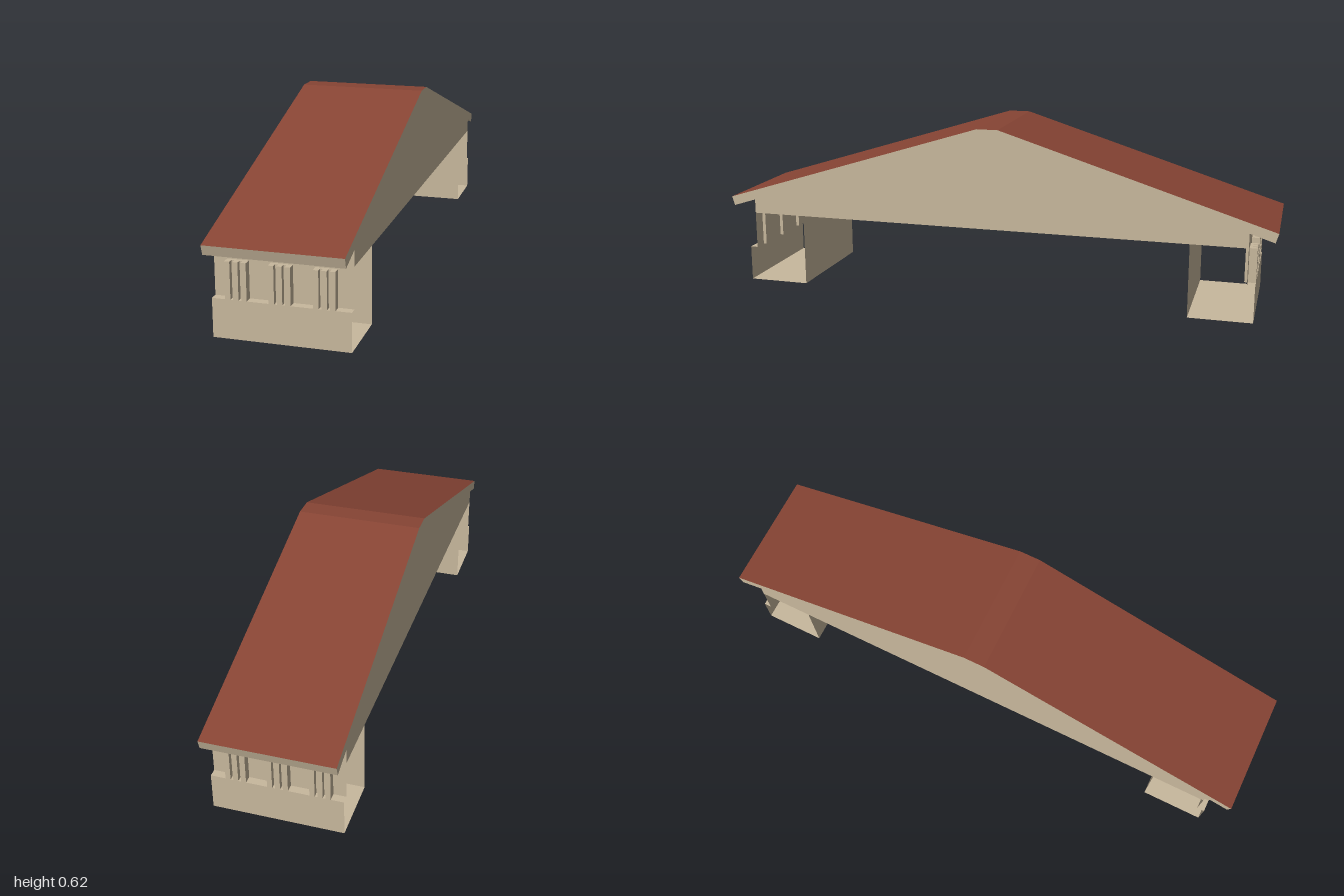
import * as THREE from 'three';

const HALF = 0.22; // half width of the building along x

// Flat-faced sheet: sweeps a profile of [z, y] points across the width
function sheet(name, profile, material) {
  const pos = [];
  for (let i = 0; i < profile.length - 1; i++) {
    const [z0, y0] = profile[i];
    const [z1, y1] = profile[i + 1];
    pos.push(-HALF, y0, z0, HALF, y0, z0, HALF, y1, z1);
    pos.push(-HALF, y0, z0, HALF, y1, z1, -HALF, y1, z1);
  }
  const geo = new THREE.BufferGeometry();
  geo.setAttribute('position', new THREE.Float32BufferAttribute(pos, 3));
  geo.computeVertexNormals();
  const mesh = new THREE.Mesh(geo, material);
  mesh.name = name;
  return mesh;
}

function box(name, w, y0, y1, z0, z1, x, material) {
  const mesh = new THREE.Mesh(new THREE.BoxGeometry(w, y1 - y0, z1 - z0), material);
  mesh.position.set(x, (y0 + y1) / 2, (z0 + z1) / 2);
  mesh.name = name;
  return mesh;
}

// Open-ended base with a recessed wall and three grooved window blocks
function endSupport(name, offset, material) {
  const group = new THREE.Group();
  group.name = name;
  group.add(sheet('supportShell', [
    [0.71, 0.26], [0.71, 0], [0.932, 0], [0.932, 0.127], [0.905, 0.127], [0.905, 0.26],
  ], material));
  for (const i of [-1, 0, 1]) {
    const x = offset + i * 0.139;
    group.add(box('windowBack', 0.069, 0.127, 0.248, 0.893, 0.915, x, material));
    for (const j of [-1, 0, 1]) {
      group.add(box('windowBar', 0.017, 0.127, 0.248, 0.893, 0.932, x + j * 0.026, material));
    }
  }
  return group;
}

export function createModel() {
  const stone = new THREE.MeshStandardMaterial({ color: 0xc8b89d, side: THREE.DoubleSide });
  stone.name = 'stone';
  const tile = new THREE.MeshStandardMaterial({ color: 0x874434, side: THREE.DoubleSide });
  tile.name = 'roofTile';

  const model = new THREE.Group();
  model.name = 'gabledBuilding';

  // Roof covering, front eave to back eave
  const roof = [[1, 0.317], [0.038, 0.617], [-0.038, 0.617], [-1, 0.317]];
  model.add(sheet('roof', roof, tile));

  // Eave edges, soffits and flat underside, back to front
  const under = [
    [-1, 0.317], [-0.99, 0.284], [-0.905, 0.311], [-0.905, 0.26],
    [0.905, 0.26], [0.905, 0.311], [0.99, 0.284], [1, 0.317],
  ];
  model.add(sheet('eavesAndUnderside', under, stone));

  // Solid gable faces
  const outline = [...roof, ...under.slice(1, -1)].map(([z, y]) => new THREE.Vector2(-z, y));
  const gableGeo = new THREE.ShapeGeometry(new THREE.Shape(outline));
  for (const side of [1, -1]) {
    const gable = new THREE.Mesh(gableGeo, stone);
    gable.name = side > 0 ? 'leftGable' : 'rightGable';
    gable.rotation.y = side * Math.PI / 2;
    gable.position.x = side * HALF;
    model.add(gable);
  }

  // Supports at both ends
  model.add(endSupport('frontSupport', -0.0035, stone));
  const back = endSupport('backSupport', 0.0035, stone);
  back.rotation.y = Math.PI;
  model.add(back);

  return model;
}
